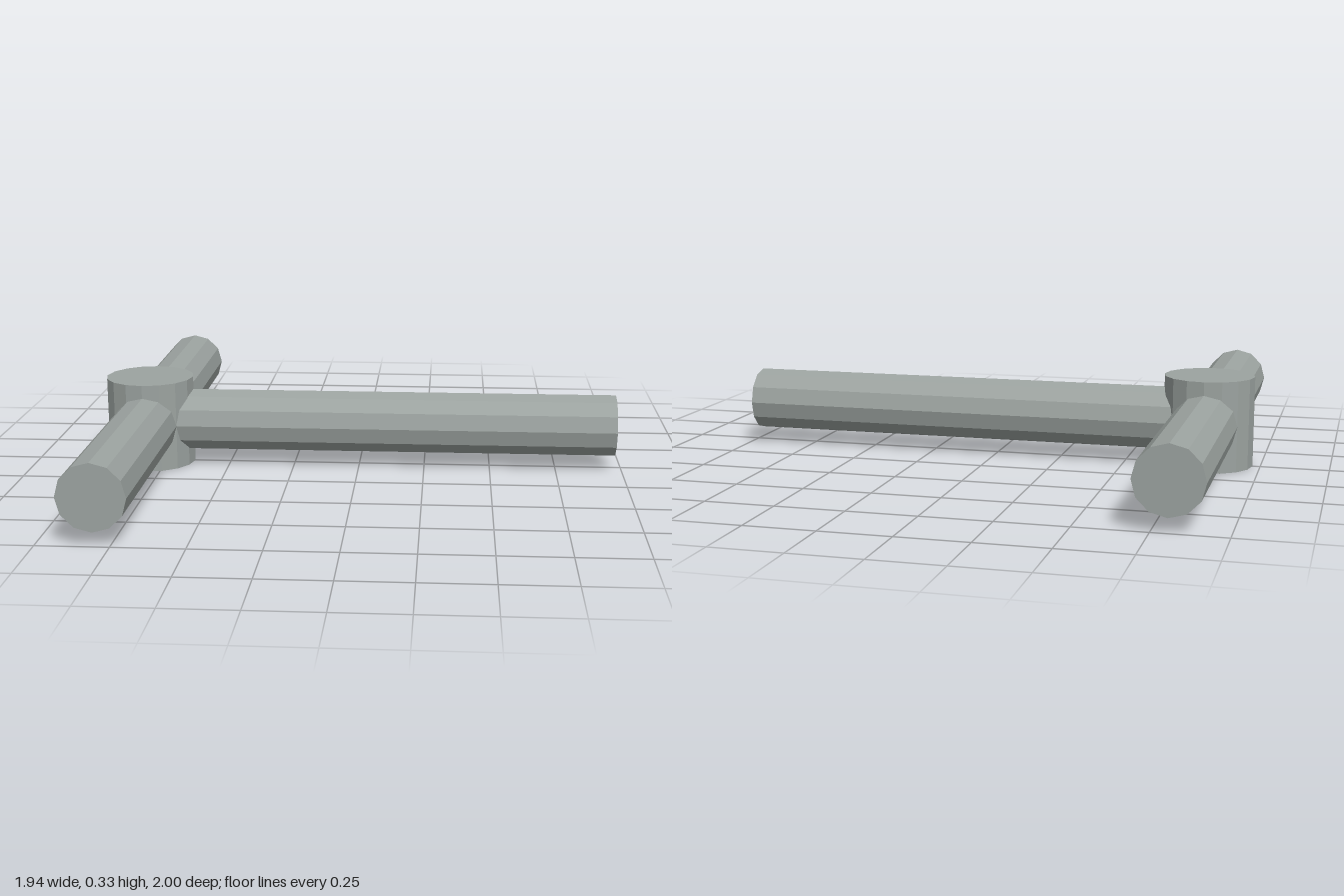
import * as THREE from 'three';

const HUB_X = -0.806, MID_Y = 0.167;

export function createModel() {
  const group = new THREE.Group();
  const material = new THREE.MeshStandardMaterial({ color: 0x9ca3a0, flatShading: true });

  function cylinder(name, radius, length, sides) {
    const mesh = new THREE.Mesh(new THREE.CylinderGeometry(radius, radius, length, sides), material);
    mesh.name = name;
    mesh.position.set(HUB_X, MID_Y, 0);
    group.add(mesh);
    return mesh;
  }

  // Upright hub where the bars meet
  cylinder('hub', 0.166, 0.334, 16);

  // Bar running front to back through the hub
  cylinder('crossBar', 0.118, 2, 12).rotation.x = Math.PI / 2;

  // Long bar reaching from the hub to the left
  const end = 0.972;
  const longBar = cylinder('longBar', 0.118, end - HUB_X, 12);
  longBar.rotation.z = -Math.PI / 2;
  longBar.position.x = (end + HUB_X) / 2;

  return group;
}
